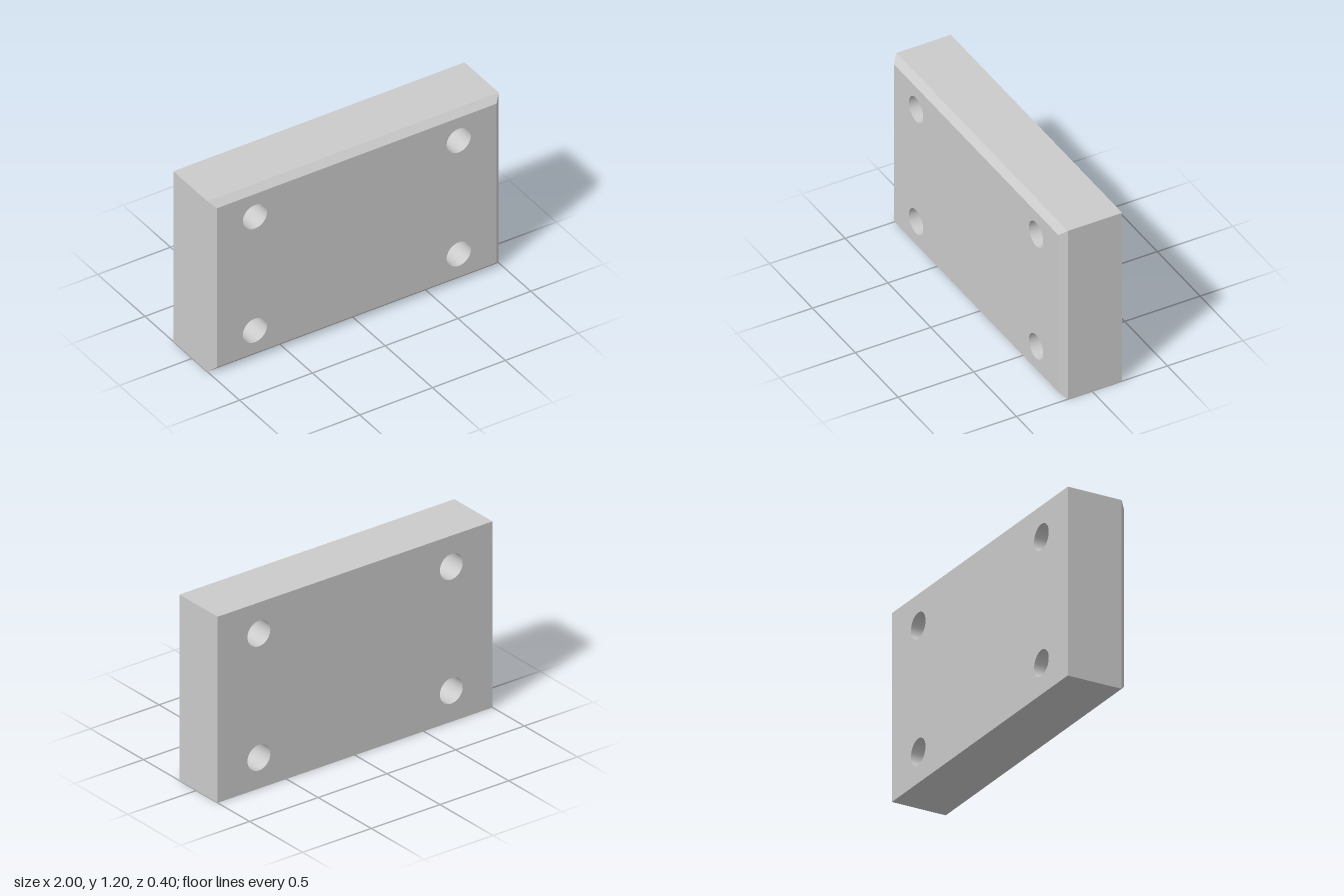
import * as THREE from 'three';

const W = 2, H = 1.2, D = 0.4, CHAMFER = 0.04, HOLE_R = 0.083;
const holes = [-0.7, 0.7].flatMap((x) => [0.2, 1.0].map((y) => [x, y]));

// Corners of the plate outline, anticlockwise from the front, set in by a margin
function outline(inset) {
  const x = W / 2 - inset, y0 = inset, y1 = H - inset;
  return [[-x, y0], [x, y0], [x, y1], [-x, y1]];
}

// Flat rectangular face pierced by the four holes
function faceGeometry(inset) {
  const shape = new THREE.Shape(outline(inset).map(([x, y]) => new THREE.Vector2(x, y)));
  for (const [x, y] of holes) {
    shape.holes.push(new THREE.Path().absarc(x, y, HOLE_R, 0, Math.PI * 2, true));
  }
  return new THREE.ShapeGeometry(shape, 24);
}

// Band of four flat quads joining two outlines at different depths
function bandGeometry(insetBack, zBack, insetFront, zFront) {
  const back = outline(insetBack).map(([x, y]) => [x, y, zBack]);
  const front = outline(insetFront).map(([x, y]) => [x, y, zFront]);
  const points = [];
  for (let i = 0; i < 4; i++) {
    const j = (i + 1) % 4;
    points.push(...back[i], ...back[j], ...front[j], ...back[i], ...front[j], ...front[i]);
  }
  const geometry = new THREE.BufferGeometry();
  geometry.setAttribute('position', new THREE.Float32BufferAttribute(points, 3));
  geometry.computeVertexNormals();
  return geometry;
}

export function createModel() {
  const group = new THREE.Group();
  group.name = 'mountingPlate';
  const material = new THREE.MeshStandardMaterial({ color: 0xcccccc });
  const boreMaterial = new THREE.MeshStandardMaterial({ color: 0xcccccc, side: THREE.DoubleSide });

  const add = (name, geometry, mat = material) => {
    const mesh = new THREE.Mesh(geometry, mat);
    mesh.name = name;
    group.add(mesh);
    return mesh;
  };

  // Front face inside the chamfer, and full-size back face
  add('frontFace', faceGeometry(CHAMFER)).position.z = D / 2;
  const back = add('backFace', faceGeometry(0));
  back.rotation.y = Math.PI;
  back.position.z = -D / 2;

  // Straight edge walls and the chamfer around the front
  add('edgeWalls', bandGeometry(0, -D / 2, 0, D / 2 - CHAMFER));
  add('frontChamfer', bandGeometry(0, D / 2 - CHAMFER, CHAMFER, D / 2));

  // Smooth bores through the plate
  const bore = new THREE.CylinderGeometry(HOLE_R, HOLE_R, D, 48, 1, true).rotateX(Math.PI / 2);
  for (const [x, y] of holes) add('boltHole', bore, boreMaterial).position.set(x, y, 0);

  return group;
}
